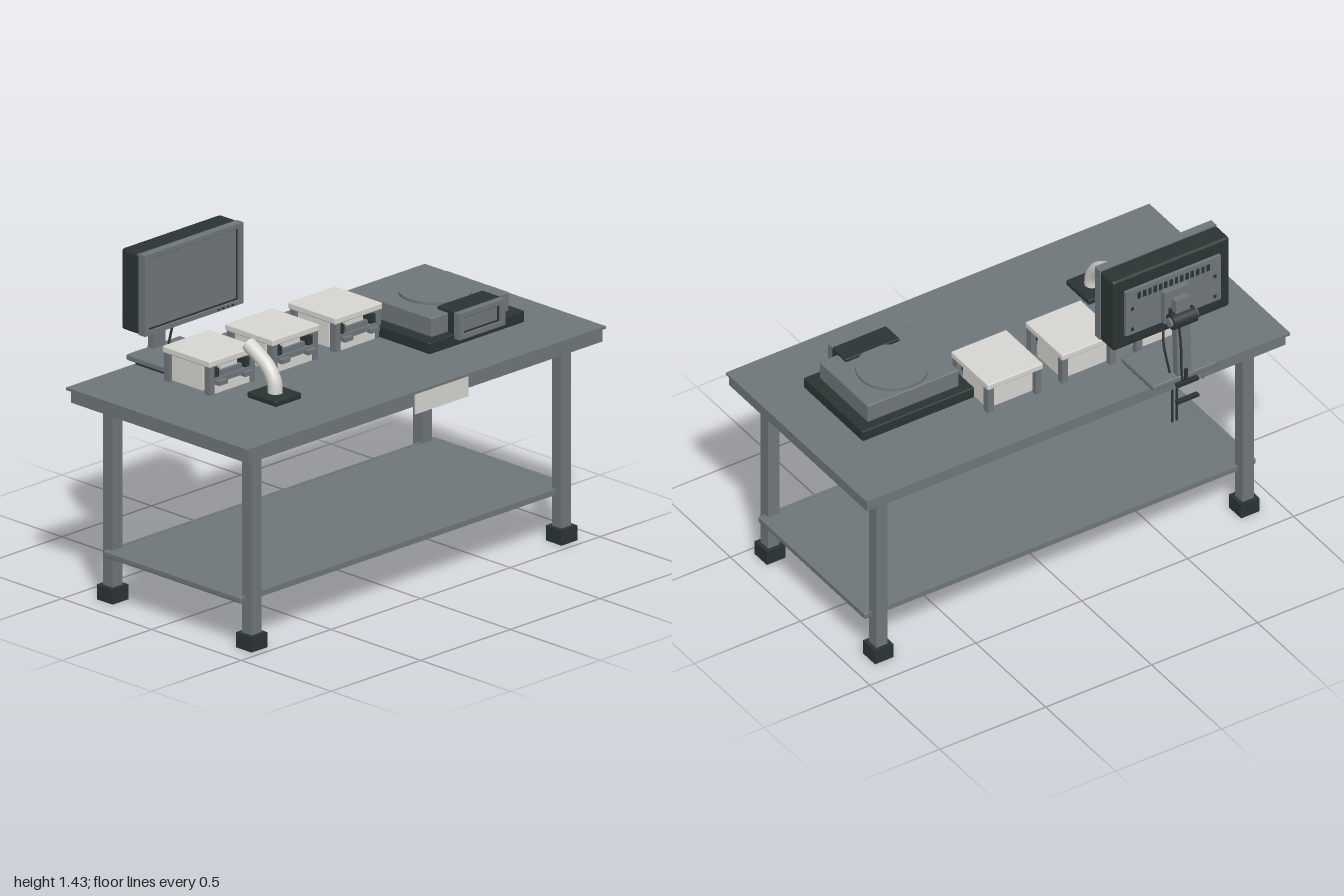
import * as THREE from 'three';
import { RoundedBoxGeometry } from 'three/addons/geometries/RoundedBoxGeometry.js';

const mat = (name, color) => Object.assign(new THREE.MeshStandardMaterial({ color }), { name });

export function createModel() {
  const root = new THREE.Group();
  root.name = 'weighingStation';
  const grey = mat('steelGrey', 0x6f767a);
  const dark = mat('charcoal', 0x2b3433);
  const white = mat('offWhite', 0xd6d5d1);

  const group = (name, x = 0, y = 0, z = 0) => {
    const g = new THREE.Group();
    g.name = name;
    g.position.set(x, y, z);
    root.add(g);
    return g;
  };
  const add = (parent, name, geo, material, x = 0, y = 0, z = 0) => {
    const m = new THREE.Mesh(geo, material);
    m.name = name;
    m.position.set(x, y, z);
    parent.add(m);
    return m;
  };
  // Box given by its extents; r > 0 rounds the edges
  const box = (parent, name, material, x0, x1, y0, y1, z0, z1, r = 0) => {
    const s = [x1 - x0, y1 - y0, z1 - z0];
    const geo = r ? new RoundedBoxGeometry(...s, 2, r) : new THREE.BoxGeometry(...s);
    return add(parent, name, geo, material, (x0 + x1) / 2, (y0 + y1) / 2, (z0 + z1) / 2);
  };
  const tube = (parent, name, material, pts, r, seg = 16, sides = 8) => {
    const curve = new THREE.CatmullRomCurve3(pts.map((p) => new THREE.Vector3(...p)));
    return add(parent, name, new THREE.TubeGeometry(curve, seg, r, sides), material);
  };
  // Rectangular ring facing +z
  const frame = (w, h, iw, ih, depth) => {
    const rect = (P, a, b) => {
      const p = new P();
      p.moveTo(-a / 2, -b / 2).lineTo(a / 2, -b / 2).lineTo(a / 2, b / 2).lineTo(-a / 2, b / 2).closePath();
      return p;
    };
    const s = rect(THREE.Shape, w, h);
    s.holes.push(rect(THREE.Path, iw, ih));
    return new THREE.ExtrudeGeometry(s, { depth, bevelEnabled: false });
  };
  // Path methods return this in current releases, so rings chain safely

  // Table
  const table = group('table');
  box(table, 'tableTop', grey, -1, 1, 0.882, 0.893, -0.476, 0.533);
  box(table, 'tableApron', grey, -0.988, 0.988, 0.83, 0.882, -0.46, 0.527);
  box(table, 'frontLabel', white, -0.06, 0.235, 0.797, 0.887, 0.527, 0.532);
  box(table, 'shelf', grey, -0.9, 0.9, 0.197, 0.218, -0.335, 0.405);
  for (const s of [-1, 1]) {
    box(table, 'shelfEndRail', grey, s * 0.912 - 0.012, s * 0.912 + 0.012, 0.195, 0.222, -0.347, 0.418, 0.006);
    box(table, 'shelfSideRail', grey, -0.9, 0.9, 0.197, 0.22, s < 0 ? -0.347 : 0.405, s < 0 ? -0.335 : 0.418);
    for (const z of [-0.353, 0.422]) {
      const x = s * 0.864;
      box(table, 'leg', grey, x - 0.027, x + 0.027, 0.03, 0.83, z - 0.027, z + 0.027);
      const foot = add(table, 'foot', frame(0.088, 0.088, 0.06, 0.06, 0.045), dark, x, 0, z);
      foot.rotation.x = -Math.PI / 2;
      box(table, 'footCap', dark, x - 0.044, x + 0.044, 0.04, 0.063, z - 0.044, z + 0.044);
    }
  }

  // Three small dispensers with a white lid, corner posts and a recessed front
  for (const x of [-0.544, -0.193, 0.158]) {
    const d = group('dispenser', x, 0.893, 0);
    box(d, 'lid', white, -0.131, 0.131, 0.117, 0.146, -0.266, 0, 0.006);
    box(d, 'core', white, -0.112, 0.112, 0.005, 0.117, -0.235, -0.06);
    box(d, 'lowerFront', white, -0.095, 0.095, 0.002, 0.045, -0.06, -0.006);
    box(d, 'recess', dark, -0.1, 0.1, 0.045, 0.117, -0.06, -0.045);
    for (const s of [-1, 1]) {
      for (const z of [-0.245, -0.02]) {
        box(d, 'post', grey, s * 0.113 - 0.014, s * 0.113 + 0.014, 0, 0.117, z - 0.015, z + 0.015);
      }
      box(d, 'slotBlock', dark, s * 0.088 - 0.015, s * 0.088 + 0.015, 0.068, 0.105, -0.045, -0.008);
      box(d, 'tab', grey, s * 0.073 - 0.024, s * 0.073 + 0.024, 0.04, 0.058, -0.006, 0.018);
    }
    box(d, 'tray', grey, -0.1, 0.1, 0.045, 0.066, -0.045, -0.002);
    box(d, 'trayHandle', grey, -0.06, 0.06, 0.066, 0.088, -0.045, -0.012);
    box(d, 'whiteInsert', white, -0.045, 0.045, 0.088, 0.117, -0.045, -0.025);
  }

  // Weighing scale
  const scale = group('scale');
  box(scale, 'scaleBase', dark, 0.272, 0.8, 0.896, 0.945, -0.145, 0.28, 0.006);
  box(scale, 'scaleBody', grey, 0.32, 0.75, 0.945, 1.027, -0.106, 0.243, 0.006);
  add(scale, 'pan', new THREE.CylinderGeometry(0.145, 0.145, 0.012, 48), grey, 0.537, 1.033, 0.045);
  box(scale, 'displayHousing', dark, 0.41, 0.665, 0.935, 1.04, 0.18, 0.28, 0.006);
  add(scale, 'displayFrame', frame(0.255, 0.11, 0.205, 0.07, 0.03), grey, 0.537, 0.982, 0.278);
  add(scale, 'displayRim', frame(0.205, 0.07, 0.192, 0.058, 0.018), dark, 0.537, 0.982, 0.28);
  box(scale, 'displayScreen', grey, 0.441, 0.633, 0.953, 1.011, 0.28, 0.293);

  // Hand scanner on its stand
  const scanner = group('scanner');
  box(scanner, 'scannerStand', dark, -0.578, -0.434, 0.893, 0.918, 0.11, 0.272, 0.006);
  const path = [[-0.505, 0.91, 0.195], [-0.505, 0.96, 0.19], [-0.505, 1.015, 0.155], [-0.505, 1.05, 0.105], [-0.505, 1.083, 0.046]];
  tube(scanner, 'scannerGrip', white, path, 0.03, 24, 20);
  const tip = add(scanner, 'scannerTip', new THREE.CircleGeometry(0.03, 20), white, ...path[4]);
  tip.lookAt(-0.505, 1.116, -0.013);
  const lens = add(scanner, 'scannerWindow', new THREE.CircleGeometry(0.02, 20), grey, -0.505, 1.084, 0.0445);
  lens.lookAt(-0.505, 1.117, -0.0145);

  // Monitor
  const mon = group('monitor', -0.48, 1.261, 0);
  box(mon, 'monitorBody', dark, -0.275, 0.275, -0.17, 0.17, -0.414, -0.318, 0.012);
  add(mon, 'monitorBezel', frame(0.55, 0.34, 0.505, 0.303, 0.036), grey, 0, 0, -0.318);
  add(mon, 'screenRim', frame(0.505, 0.303, 0.493, 0.291, 0.026), dark, 0, 0, -0.318);
  box(mon, 'screen', grey, -0.247, 0.247, -0.146, 0.146, -0.32, -0.296);
  for (let i = 0; i < 4; i++) box(mon, 'monitorButton', dark, 0.13 + i * 0.026, 0.142 + i * 0.026, -0.164, -0.158, -0.282, -0.279);
  box(mon, 'backPanel', grey, -0.225, 0.225, -0.105, 0.11, -0.429, -0.41);
  for (let i = 0; i < 14; i++) {
    const x = -0.163 + i * 0.025;
    box(mon, 'vent', dark, x - 0.007, x + 0.007, 0.06, 0.09, -0.432, -0.428);
  }
  for (const x of [-0.195, 0.195]) for (const y of [-0.08, 0.02]) {
    box(mon, 'panelScrew', dark, x - 0.007, x + 0.007, y - 0.007, y + 0.007, -0.432, -0.428);
  }

  // Monitor stand
  const stand = group('monitorStand', -0.48, 0, 0);
  box(stand, 'mountPlate', grey, -0.06, 0.06, 1.165, 1.315, -0.455, -0.429);
  box(stand, 'mountBlock', dark, -0.04, 0.04, 1.165, 1.235, -0.475, -0.455);
  const column = box(stand, 'column', grey, -0.033, 0.033, 0.92, 1.29, -0.502, -0.47);
  column.rotation.x = 0.035;
  const knob = add(stand, 'hinge', new THREE.CylinderGeometry(0.034, 0.034, 0.11, 24), dark, 0, 1.197, -0.492);
  knob.rotation.z = Math.PI / 2;
  const pin = add(stand, 'hingePin', new THREE.CylinderGeometry(0.02, 0.02, 0.13, 20), grey, 0, 1.197, -0.492);
  pin.rotation.z = Math.PI / 2;
  box(stand, 'standBase', grey, -0.15, 0.15, 0.903, 0.928, -0.512, -0.28, 0.006);
  box(stand, 'standPad', dark, -0.14, 0.14, 0.893, 0.903, -0.47, -0.29);

  // Cables and clips behind the table
  const cables = group('cables', -0.48, 0, 0);
  tube(cables, 'monitorCable', dark, [[0.02, 1.18, -0.495], [0.02, 1.08, -0.512], [0.02, 0.98, -0.515], [0.02, 0.9, -0.524]], 0.005);
  tube(cables, 'sideCable', dark, [[0.05, 1.12, -0.43], [0.06, 1.06, -0.45], [0.045, 0.93, -0.47]], 0.005);
  for (const x of [-0.012, 0.011]) tube(cables, 'hangingCable', dark, [[x, 0.84, -0.435], [x, 0.75, -0.435], [x, 0.65, -0.435]], 0.005, 4);
  tube(cables, 'shortCable', dark, [[-0.153, 0.84, -0.375], [-0.153, 0.81, -0.39], [-0.153, 0.78, -0.41]], 0.004, 6);
  box(cables, 'upperClip', dark, -0.05, 0.05, 0.895, 0.908, -0.536, -0.515);
  box(cables, 'lowerClip', dark, -0.052, 0.05, 0.813, 0.825, -0.536, -0.515);
  box(cables, 'clipRod', dark, -0.006, 0.006, 0.9, 0.96, -0.524, -0.514);
  return root;
}
